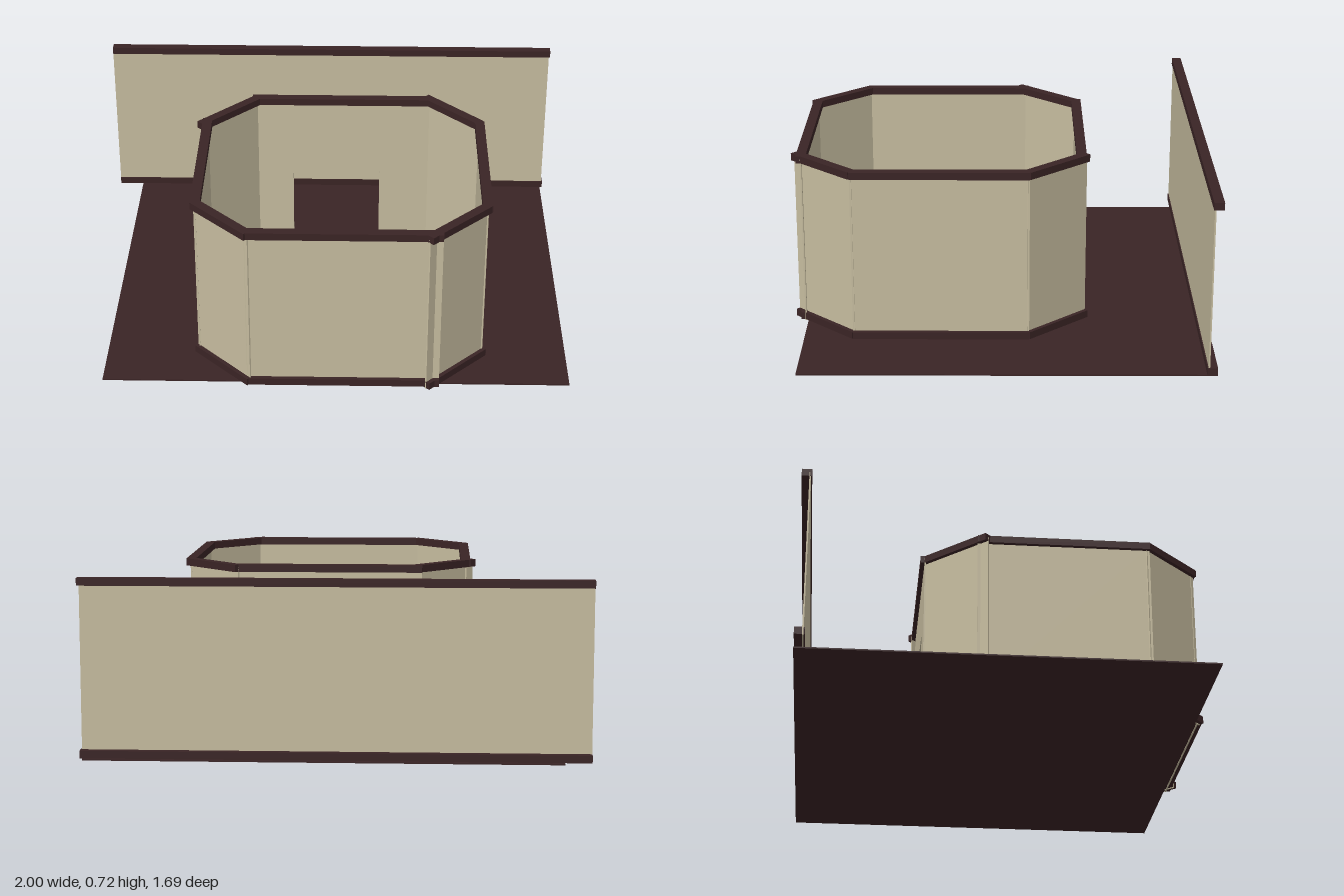
import * as THREE from 'three';

const plaster = new THREE.MeshStandardMaterial({ color: 0xc6bc9f });
plaster.name = 'plaster';
const darkWood = new THREE.MeshStandardMaterial({ color: 0x3a2425 });
darkWood.name = 'darkWood';
const black = new THREE.MeshStandardMaterial({ color: 0x120e0e });
black.name = 'black';

const WALL = { y0: 0.005, y1: 0.705, t: 0.006 };
const RAIL = { h: 0.03, w: 0.04, low: 0.008, high: 0.687 };

// Upright slab running from a to b (x, z pairs) between two heights
function slab(name, material, a, b, y0, y1, thickness) {
  const dx = b[0] - a[0], dz = b[1] - a[1];
  const mesh = new THREE.Mesh(new THREE.BoxGeometry(Math.hypot(dx, dz), y1 - y0, thickness), material);
  mesh.position.set((a[0] + b[0]) / 2, (y0 + y1) / 2, (a[1] + b[1]) / 2);
  mesh.rotation.y = -Math.atan2(dz, dx);
  mesh.name = name;
  return mesh;
}

function rail(name, a, b, y) {
  return slab(name, darkWood, a, b, y, y + RAIL.h, RAIL.w);
}

// Thin wall with a skirting rail and a cap rail
function wallPanel(name, a, b, wallA = a, wallB = b) {
  const g = new THREE.Group();
  g.name = name;
  g.add(slab('wall', plaster, wallA, wallB, WALL.y0, WALL.y1, WALL.t));
  g.add(rail('skirting', a, b, RAIL.low), rail('capRail', a, b, RAIL.high));
  return g;
}

// Wall along x with a doorway between d0 and d1
function doorWall(name, x0, x1, z, d0, d1, doorTop) {
  const g = new THREE.Group();
  g.name = name;
  for (const [s, e] of [[x0, d0], [d1, x1]]) {
    g.add(slab('wall', plaster, [s, z], [e, z], WALL.y0, WALL.y1, WALL.t));
    g.add(rail('skirting', [s, z], [e, z], RAIL.low));
  }
  g.add(slab('doorHeader', plaster, [d0, z], [d1, z], doorTop, WALL.y1, WALL.t));
  g.add(rail('capRail', [x0, z], [x1, z], RAIL.high));
  return g;
}

export function createModel() {
  const model = new THREE.Group();
  model.name = 'octagonRoom';

  const floor = new THREE.Mesh(new THREE.BoxGeometry(1.88, 0.006, 1.635), darkWood);
  floor.position.set(0.045, 0.003, -0.03);
  floor.name = 'floor';
  model.add(floor);

  // Long outer wall behind the room
  model.add(wallPanel('outerWall', [-1, -0.825], [0.995, -0.825], [-1, -0.812], [0.99, -0.812]));

  // Eight sides of the room, corners slightly overlapping
  model.add(wallPanel('frontWall', [-0.31, 0.798], [0.46, 0.798]));
  model.add(wallPanel('frontLeftWall', [0.642, 0.58], [0.406, 0.826]));
  model.add(wallPanel('leftWall', [0.64, -0.12], [0.64, 0.59]));
  model.add(wallPanel('backLeftWall', [0.642, -0.11], [0.416, -0.35]));
  model.add(doorWall('backWall', -0.335, 0.435, -0.33, -0.16, 0.22, 0.43));
  model.add(wallPanel('backRightWall', [-0.315, -0.325], [-0.543, -0.082]));
  model.add(wallPanel('rightWall', [-0.515, -0.125], [-0.515, 0.59]));
  model.add(wallPanel('frontRightWall', [-0.52, 0.575], [-0.295, 0.81]));

  // Small pedestal in the middle of the room
  const pedestal = new THREE.Group();
  pedestal.name = 'pedestal';
  const box = (name, mat, w, h, y) => {
    const m = new THREE.Mesh(new THREE.BoxGeometry(w, h, w), mat);
    m.position.y = y;
    m.name = name;
    pedestal.add(m);
    return m;
  };
  box('pedestalBase', darkWood, 0.1, 0.03, 0.02);
  box('pedestalColumn', plaster, 0.08, 0.17, 0.09);
  const knob = new THREE.Mesh(new THREE.SphereGeometry(0.016, 12, 8), black);
  knob.scale.set(0.5, 0.6, 1);
  knob.rotation.y = 0.6;
  knob.position.y = 0.18;
  knob.name = 'pedestalKnob';
  pedestal.add(knob);
  pedestal.position.set(0.045, 0, 0.185);
  model.add(pedestal);

  return model;
}
